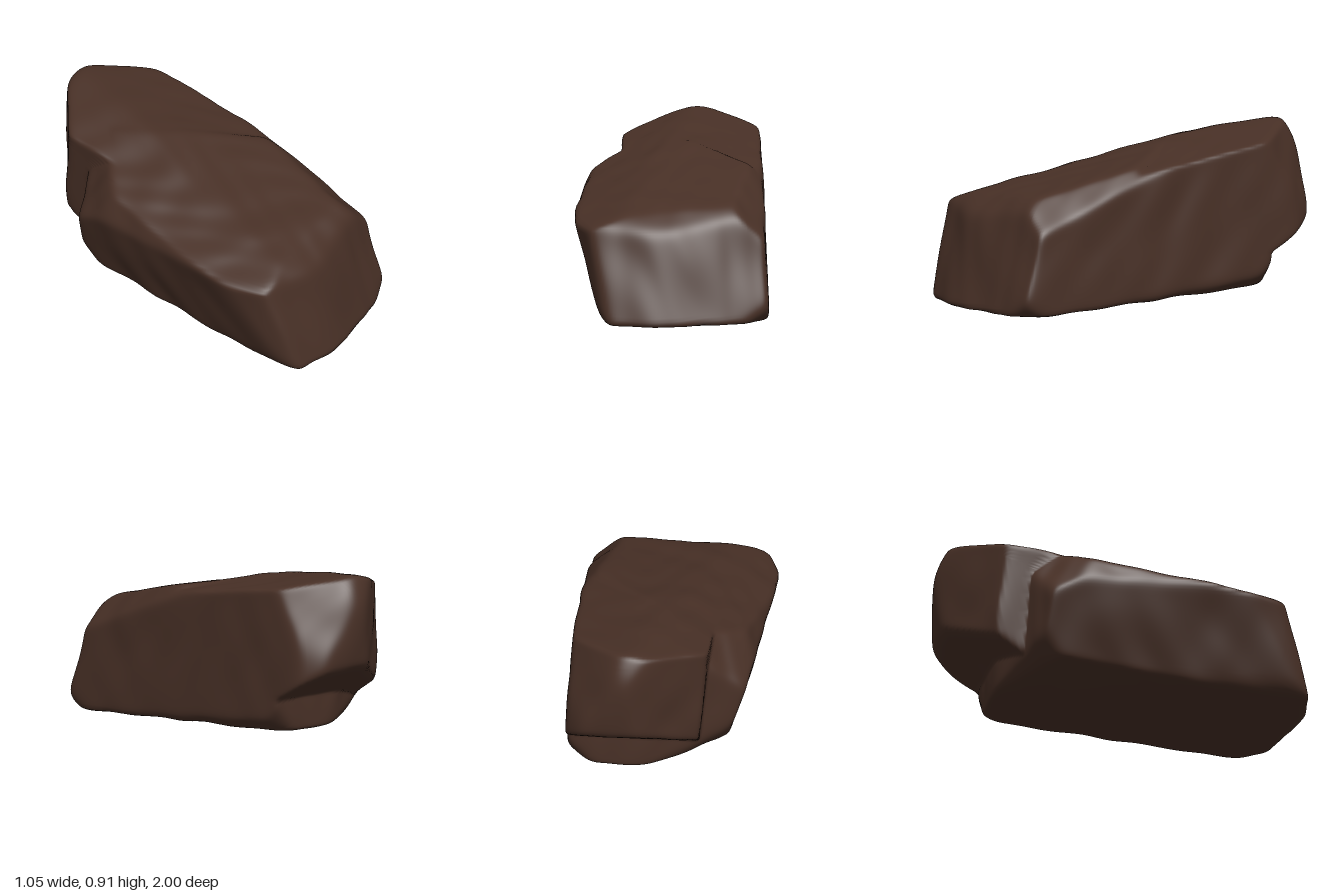
import * as THREE from 'three';
import { mergeVertices } from 'three/addons/utils/BufferGeometryUtils.js';

const CENTRE = new THREE.Vector3(0, 0.42, 0);

// A cleavage plane: outward normal and a point on it, kept as normal / distance from the centre
function plane(normal, point) {
  const n = new THREE.Vector3(...normal);
  const h = new THREE.Vector3(...point).sub(CENTRE).dot(n);
  return n.divideScalar(h);
}

// Planes shared by both lobes of the boulder
const common = [
  plane([0.2, 0.28, 1], [0, 0, 1.005]),             // front face, right half
  plane([-0.15, 0.28, 1], [-0.1, 0, 1.015]),        // front face, left half
  plane([0, 0.8, 0.6], [0, 0.56, 0.8]),             // bevel above the front
  plane([0.6, 0.7, 0.25], [0.45, 0.54, 0.7]),       // worn upper edge at the front corner
  plane([0.7, -0.7, 0.5], [0.49, 0.03, 0.83]),      // worn lower front corner
  plane([-0.05, 1, 0.22], [0.1, 0.835, -0.25]),     // sloping top
  plane([-0.35, 1, 0.15], [-0.3, 0.76, -0.45]),     // top falling to the side
  plane([1, 0.04, -0.01], [0.53, 0, 0.5]),          // straight side
  plane([0.8, -1, -0.1], [0.5, 0.045, 0]),          // worn lower edge of that side
  plane([-1, -0.32, -0.05], [-0.35, 0, 0.4]),       // undercut side
  plane([-1, 0.4, -0.06], [-0.505, 0.58, 0.3]),     // shoulder over the undercut
  plane([-1, -0.05, 0.4], [-0.39, 0.1, 0.9]),       // front corner
  plane([-0.8, -0.8, 0], [-0.36, 0.025, 0]),        // worn lower edge of the undercut
  plane([0, -1, -0.03], [0, 0.005, 0.95]),          // underside
  plane([-0.25, -1, -0.12], [-0.1, 0.04, -0.3]),    // underside rising at the back corner
];

const lobes = [
  // Wide lower lobe, ending in the base step and the side notch
  [...common,
    plane([-0.45, 0, -1], [-0.35, 0, -0.52]),
    plane([0, 0, -1], [0, 0, -0.69]),
    plane([0.6, 0.8, -0.4], [0.1, 0.83, -0.25]),
    plane([-0.6, 0.45, -0.4], [-0.42, 0.67, -0.28]),
    plane([0.6, -0.6, -0.6], [0.45, 0.08, -0.63]),
    plane([-0.5, -0.6, -0.6], [-0.29, 0.08, -0.43])],
  // Narrower lobe overhanging at the back
  [...common,
    plane([0.1, 1, 0.14], [0.15, 0.91, -0.85]),
    plane([-0.25, 1, 0.05], [0, 0.875, -0.7]),
    plane([-1, -0.1, 0], [-0.26, 0.7, -0.6]),
    plane([-0.62, 0, -0.78], [-0.07, 0, -0.85]),
    plane([0.27, 0, -0.96], [0.3, 0, -1]),
    plane([0.8, 0, -0.6], [0.46, 0, -0.89]),
    plane([1.15, 0.63, -1], [0.4, 0.88, -0.73]),
    plane([0, -0.15, -1], [0.2, 0.75, -1.025]),
    plane([0, 0.53, -0.85], [0, 0.83, -0.98]),
    plane([0, -1, -0.6], [0, 0.3, -0.79])],
];

// Distance from the centre to a lobe's surface, with slightly rounded edges
function reach(planes, dir) {
  const p = 48;
  let sum = 0;
  for (const n of planes) sum += Math.pow(Math.max(0, n.dot(dir)), p);
  return Math.pow(sum, -1 / p);
}

// Gentle dents plus finer chipped roughness
function roughness({ x, y, z }) {
  const s = Math.sin;
  return 0.005 * s(7 * x + 3 * s(4 * z + 1)) * s(6 * z + 2 * y + 2 * s(5 * y))
    + 0.005 * s(13 * y + 4 * x + 2 * s(6 * z)) * s(11 * z - 5 * x + 1.3)
    + 0.003 * s(23 * x + 9 * y + 1) * s(21 * z + 12 * y + 2 * s(9 * x));
}

function boulderGeometry() {
  let geo = new THREE.BoxGeometry(1, 0.84, 1.9, 52, 48, 96);
  geo.deleteAttribute('normal');
  geo.deleteAttribute('uv');
  geo = mergeVertices(geo);
  const pos = geo.attributes.position;
  const v = new THREE.Vector3();
  const dir = new THREE.Vector3();
  for (let i = 0; i < pos.count; i++) {
    dir.fromBufferAttribute(pos, i).normalize();
    const r = Math.max(...lobes.map((lobe) => reach(lobe, dir)));
    v.copy(dir).multiplyScalar(r);
    v.multiplyScalar(1 + roughness(v) / r).add(CENTRE);
    pos.setXYZ(i, v.x, v.y, v.z);
  }
  // Centre it and stand it on the ground
  geo.computeBoundingBox();
  const { min, max } = geo.boundingBox;
  geo.translate(-(min.x + max.x) / 2, -min.y, -(min.z + max.z) / 2);
  geo.computeVertexNormals();
  return geo;
}

export function createModel() {
  const stone = new THREE.MeshStandardMaterial({ color: 0x483026 });
  stone.name = 'dark brown stone';
  const boulder = new THREE.Mesh(boulderGeometry(), stone);
  boulder.name = 'boulder';
  const group = new THREE.Group();
  group.name = 'rock';
  group.add(boulder);
  return group;
}
